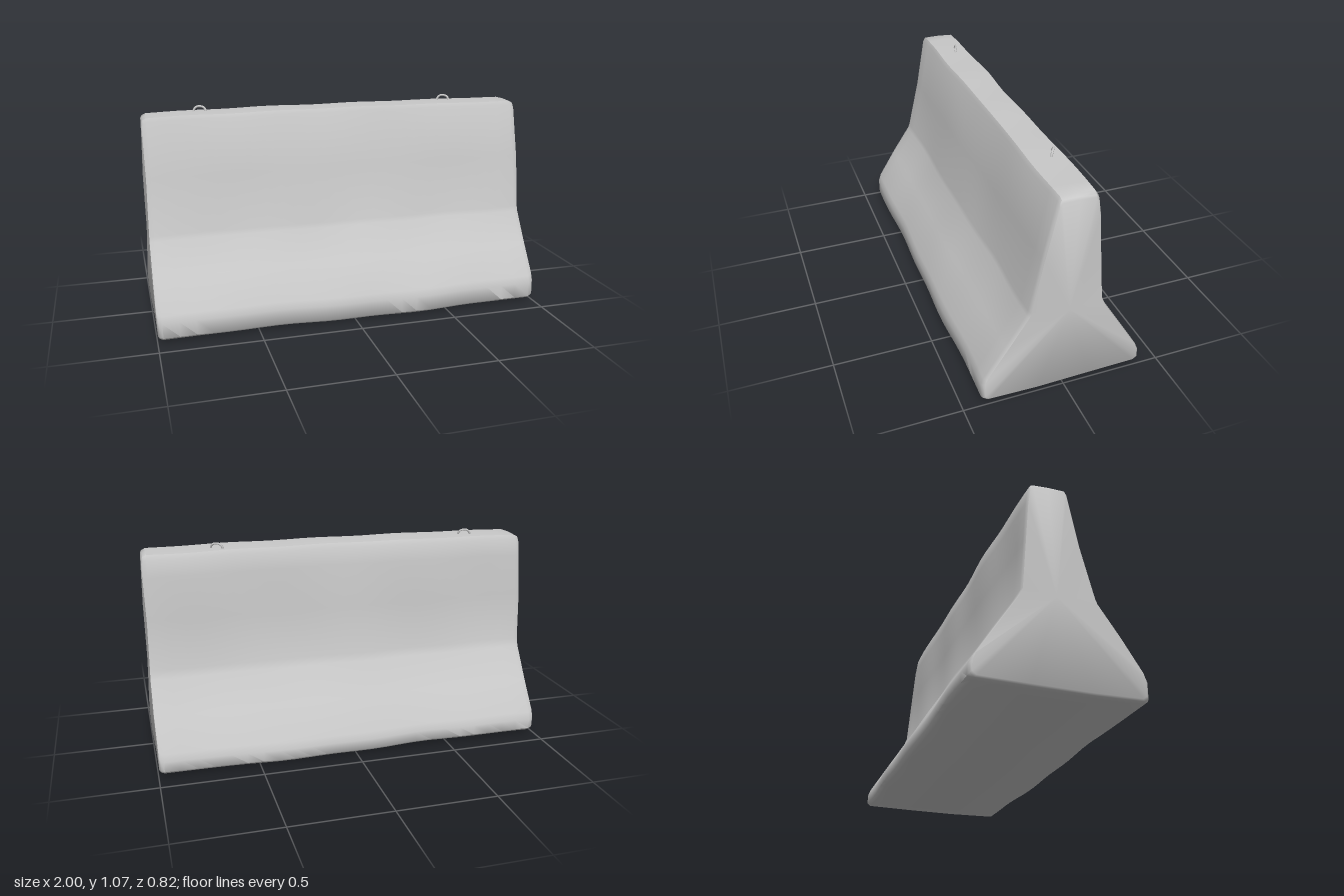
import * as THREE from 'three';
import { toCreasedNormals } from 'three/addons/utils/BufferGeometryUtils.js';

// Cross-section as [z, y]: front foot, up over the top, down the back
const PROFILE = [
  [0.385, 0.015], [0.405, 0.03], [0.405, 0.105], [0.392, 0.14], [0.29, 0.295],
  [0.187, 0.45], [0.178, 0.475], [0.122, 0.75], [0.066, 1.02], [0.055, 1.04],
  [-0.03, 1.042], [-0.108, 1.038], [-0.122, 1.015], [-0.135, 0.93], [-0.153, 0.72],
  [-0.172, 0.47], [-0.188, 0.43], [-0.29, 0.27], [-0.388, 0.115], [-0.403, 0.08],
  [-0.405, 0.03], [-0.385, 0.014], [-0.14, 0.01], [0.14, 0.01],
];
const CENTRE = [-0.01, 0.45];

// Stations along the length as [x, section scale]; the ends are rounded
function stations() {
  const list = [[-0.997, 0.965], [-0.99, 0.985], [-0.972, 1]];
  for (let i = 1; i < 24; i++) list.push([-0.972 + (1.944 * i) / 24, 1]);
  return [...list, [0.972, 1], [0.99, 0.985], [0.997, 0.965]];
}

// Gentle unevenness of worn, cast concrete
function wear(x, y, z) {
  const fade = 1 - x * x;
  const dent = 0.004 * Math.sin(5.3 * x + 4 * y) + 0.003 * Math.sin(11 * x - 6 * y + 9 * z);
  const sag = y < 0.2 ? -0.006 * Math.cos(3 * (x - 0.25)) * fade : 0;
  const crown = y > 0.9 ? 0.008 * fade : 0;
  return [
    x + 0.003 * Math.sin(9 * y + 7 * z) * Math.abs(x),
    y + sag + crown + 0.0015 * Math.sin(14 * x),
    z + dent * Math.sign(z) * Math.min(1, Math.abs(z) * 12),
  ];
}

function barrierGeometry() {
  const rings = stations();
  const n = PROFILE.length;
  const positions = [];
  const index = [];
  for (const [x, s] of rings) {
    for (const [z, y] of PROFILE) {
      positions.push(...wear(x, CENTRE[1] + (y - CENTRE[1]) * s, CENTRE[0] + (z - CENTRE[0]) * s));
    }
  }
  for (let i = 0; i < rings.length - 1; i++) {
    for (let j = 0; j < n; j++) {
      const a = i * n + j;
      const b = i * n + ((j + 1) % n);
      index.push(a, a + n, b, b, a + n, b + n);
    }
  }
  // End faces
  const last = (rings.length - 1) * n;
  const hub = rings.length * n;
  positions.push(-1, CENTRE[1], CENTRE[0], 1, CENTRE[1], CENTRE[0]);
  for (let j = 0; j < n; j++) {
    const k = (j + 1) % n;
    index.push(hub, j, k, hub + 1, last + k, last + j);
  }
  const geometry = new THREE.BufferGeometry();
  geometry.setAttribute('position', new THREE.Float32BufferAttribute(positions, 3));
  geometry.setIndex(index);
  return toCreasedNormals(geometry, 0.95);
}

// Bent-bar lifting loop
function loopGeometry() {
  const path = new THREE.CatmullRomCurve3([
    [-0.034, -0.02, 0], [-0.032, 0.012, 0], [-0.018, 0.028, 0],
    [0.004, 0.03, 0], [0.022, 0.022, 0], [0.03, 0.004, 0], [0.034, -0.02, 0],
  ].map((p) => new THREE.Vector3(...p)));
  return new THREE.TubeGeometry(path, 20, 0.0055, 8);
}

export function createModel() {
  const model = new THREE.Group();
  model.name = 'concreteBarrier';
  const concrete = new THREE.MeshStandardMaterial({ color: 0xc8c8c8 });
  concrete.name = 'concrete grey';

  const body = new THREE.Mesh(barrierGeometry(), concrete);
  body.name = 'barrierBody';
  model.add(body);

  // Lifting loops, slightly twisted and leaning
  const loop = loopGeometry();
  for (const [name, x, z, twist] of [
    ['rightLiftingLoop', -0.7, -0.043, -0.25],
    ['leftLiftingLoop', 0.63, -0.06, -0.5],
  ]) {
    const mesh = new THREE.Mesh(loop, concrete);
    mesh.name = name;
    mesh.position.set(x, 1.04, z);
    mesh.rotation.set(-0.25, twist, 0, 'YXZ');
    model.add(mesh);
  }
  return model;
}
